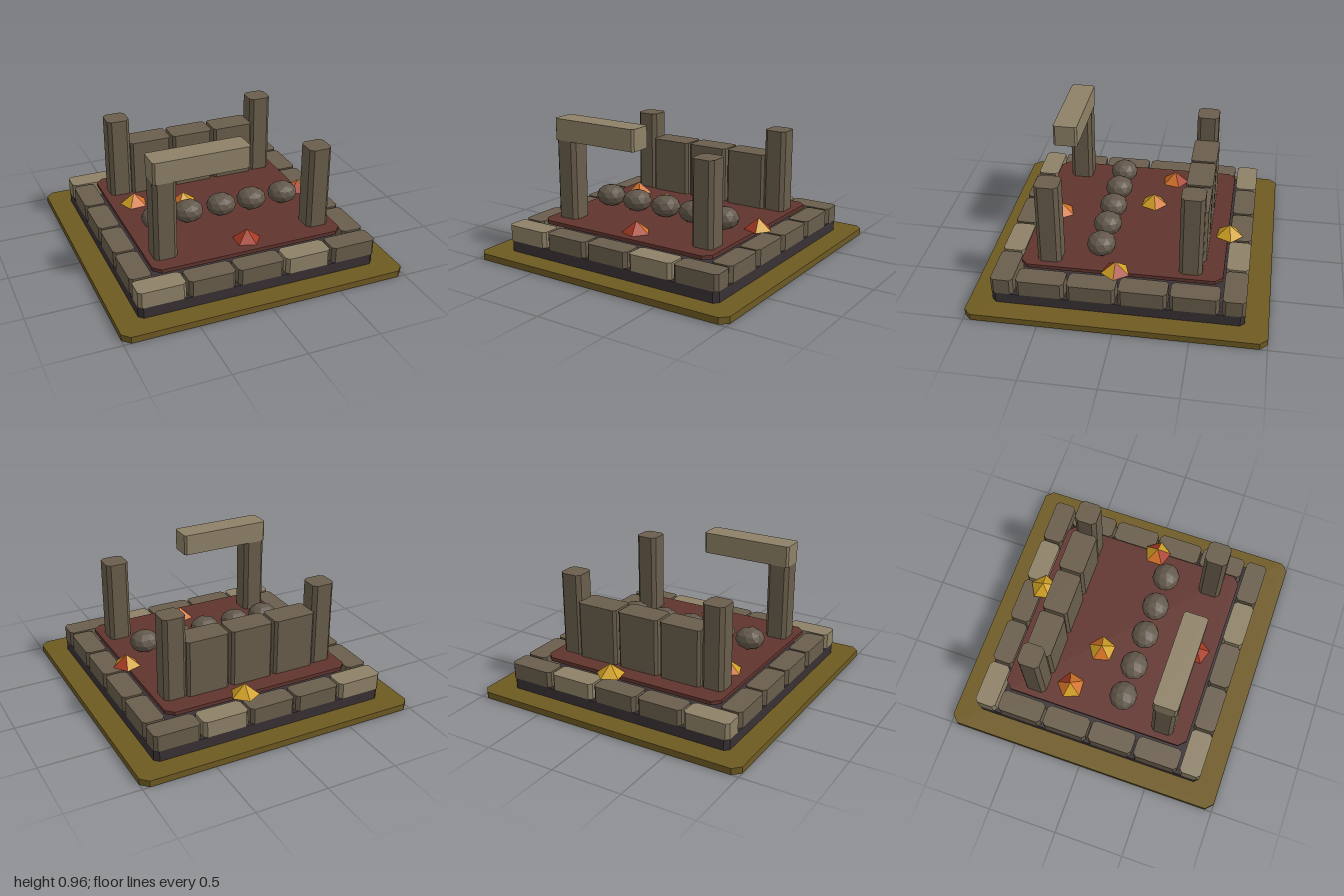
import * as THREE from 'three';

const mat = (name, color) => {
  const m = new THREE.MeshStandardMaterial({ color });
  m.name = name;
  return m;
};

export function createModel() {
  const ground = mat('olive ground', 0x6e5a22);
  const foundationMat = mat('dark foundation', 0x393134);
  const stone = mat('stone', 0x6a5e4c);
  const paleStone = mat('pale stone', 0x8e8167);
  const floorMat = mat('red floor', 0x61342e);
  const rock = mat('boulder rock', 0x62574a);
  const yellow = mat('flame yellow', 0xd0a024);
  const orange = mat('flame orange', 0xd07026);
  const red = mat('flame red', 0xa83a24);

  const model = new THREE.Group();
  model.name = 'ruinedShrine';

  const add = (name, geometry, material, x, y, z) => {
    const mesh = new THREE.Mesh(geometry, material);
    mesh.name = name;
    mesh.position.set(x, y, z);
    model.add(mesh);
    return mesh;
  };

  // Block with cut vertical corners, standing on y0
  const block = (name, material, x, z, w, d, y0, y1, cut) => {
    const a = w / 2, b = d / 2;
    const shape = new THREE.Shape([
      [-a + cut, -b], [a - cut, -b], [a, -b + cut], [a, b - cut],
      [a - cut, b], [-a + cut, b], [-a, b - cut], [-a, -b + cut],
    ].map(([px, py]) => new THREE.Vector2(px, py)));
    const g = new THREE.ExtrudeGeometry(shape, { depth: y1 - y0, bevelEnabled: false });
    g.rotateX(-Math.PI / 2);
    return add(name, g, material, x, y0, z);
  };

  // Ground, foundation and floor slab
  block('groundSlab', ground, 0, 0, 2, 2, 0, 0.045, 0.05);
  block('foundation', foundationMat, 0, 0, 1.69, 1.69, 0.045, 0.12, 0.03);
  block('floorSlab', floorMat, 0, 0, 1.36, 1.36, 0.232, 0.258, 0.05);

  // Ring of border stones
  for (const s of [-1, 1]) {
    for (let i = 0; i < 5; i++) {
      block('borderStone', i % 3 === 0 ? paleStone : stone,
        (i - 2) * 0.342, s * 0.77, 0.324, 0.152, 0.12, 0.232, 0.022);
    }
    for (let i = 0; i < 4; i++) {
      block('borderStone', stone, s * 0.77, (i - 1.5) * 0.342, 0.152, 0.324, 0.12, 0.232, 0.022);
    }
  }

  // Corner pillars, back wall and broken lintel
  for (const x of [-0.555, 0.552]) {
    block('frontPillar', stone, x, 0.49, 0.16, 0.16, 0.258, x < 0 ? 0.815 : 0.84, 0.026);
    block('backPillar', stone, x, -0.462, 0.16, 0.156, 0.258, 0.84, 0.026);
  }
  for (let i = -1; i <= 1; i++) {
    block('wallPanel', stone, i * 0.325, -0.465, 0.305, 0.182, 0.258, 0.655, 0.018);
  }
  block('lintel', paleStone, -0.302, 0.49, 0.666, 0.168, 0.812, 0.963, 0.014);

  // Row of faceted boulders, squashed along a five-fold axis
  const boulder = new THREE.IcosahedronGeometry(1, 1);
  boulder.rotateX(-Math.atan((1 + Math.sqrt(5)) / 2));
  boulder.scale(0.107, 0.079, 0.1);
  boulder.computeVertexNormals();
  [-0.482, -0.247, 0, 0.232, 0.477].forEach((x) => add('boulder', boulder, rock, x, 0.337, 0.158));

  // Low five-sided flames, one colour index per side: 0 yellow, 1 orange, 2 red
  const flame = (x, z, degrees, sides) => {
    const g = new THREE.ConeGeometry(0.1, 0.08, 5, 1).toNonIndexed();
    g.computeVertexNormals();
    g.clearGroups();
    sides.forEach((c, i) => g.addGroup(i * 3, 3, c));
    g.addGroup(15, 15, sides[0]);
    add('flame', g, [yellow, orange, red], x, 0.297, z).rotation.y = THREE.MathUtils.degToRad(degrees);
  };
  flame(0.13, -0.685, 29, [0, 0, 0, 0, 0]);
  flame(-0.517, -0.23, 40, [1, 2, 1, 0, 1]);
  flame(-0.185, -0.11, 32, [0, 1, 0, 1, 0]);
  flame(0.67, 0.03, 18, [0, 2, 0, 1, 2]);
  flame(0.025, 0.54, 18, [2, 1, 1, 2, 2]);

  return model;
}
